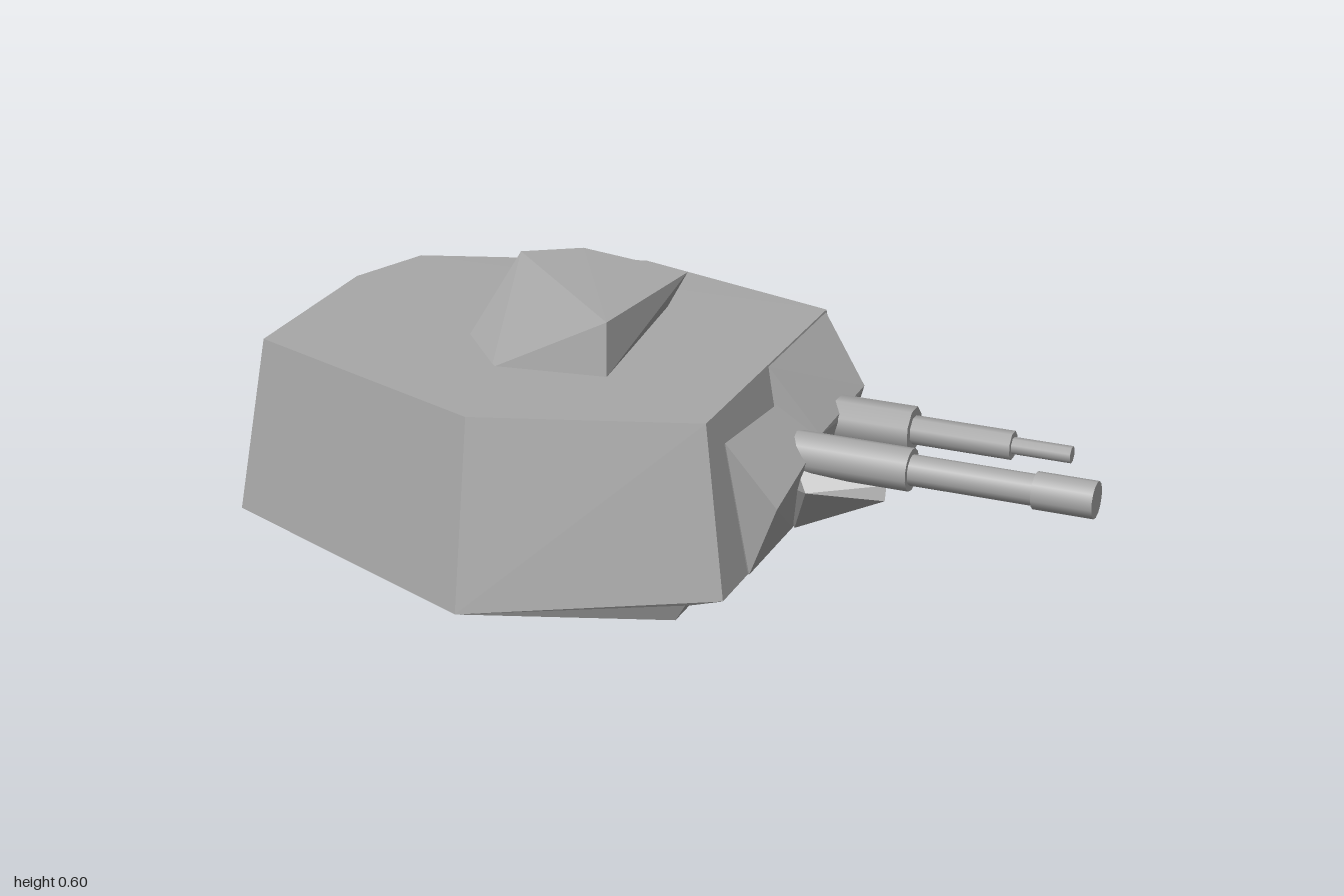
import * as THREE from 'three';
import { ConvexGeometry } from 'three/addons/geometries/ConvexGeometry.js';

export function createModel() {
  const group = new THREE.Group();
  const armour = new THREE.MeshStandardMaterial({ color: 0xa8a8a8 });
  armour.name = 'armourGrey';

  function add(name, geometry, parent = group) {
    const mesh = new THREE.Mesh(geometry, armour);
    mesh.name = name;
    parent.add(mesh);
    return mesh;
  }

  // A faceted solid through its corner points
  const solid = (name, corners) =>
    add(name, new ConvexGeometry(corners.map(c => new THREE.Vector3(...c))));

  // Six-sided sloping turret body
  solid('turretBody', [
    [-1, 0.045, -0.37], [-0.3, 0.02, -0.63], [0.26, 0.063, -0.42],
    [0.26, 0.063, 0.42], [-0.3, 0.02, 0.63], [-1, 0.045, 0.36],
    [0.19, 0.049, -0.44], [0.19, 0.049, 0.44],
    [-0.95, 0.463, -0.16], [-0.87, 0.465, -0.35], [-0.34, 0.46, -0.545],
    [0.2, 0.464, -0.385], [0.2, 0.464, 0.375], [-0.3, 0.467, 0.55],
    [-0.95, 0.463, 0.3],
  ]);

  // Floor plate, stepped back under the front edge
  solid('floorPlate', [
    [-1, 0.045, -0.37], [-0.3, 0.02, -0.63], [0.15, 0, -0.45],
    [0.15, 0, 0.43], [-0.3, 0.02, 0.63], [-1, 0.045, 0.36],
    [0.18, 0.05, -0.42], [0.18, 0.05, 0.44],
  ]);

  // Low angular hatch, overhanging at the rear corners
  solid('roofHatch', [
    [-0.49, 0.598, -0.14], [-0.36, 0.6, -0.215], [-0.075, 0.59, -0.18],
    [-0.115, 0.592, 0.2], [-0.38, 0.462, 0.255], [-0.515, 0.462, 0.1],
    [-0.11, 0.464, 0.215], [-0.16, 0.462, -0.255],
  ]);

  // Gun shield in two halves with a jutting brace
  solid('gunShieldRight', [
    [0.2, 0.46, -0.38], [0.33, 0.32, -0.3], [0.265, 0.065, -0.28],
    [0.33, 0.29, -0.2], [0.33, 0.31, 0], [0.265, 0.065, 0],
    [0.2, 0.46, 0], [0.1, 0.2, -0.2],
  ]);
  solid('gunShieldLeft', [
    [0.215, 0.39, 0.3], [0.34, 0.25, 0.3], [0.265, 0.065, 0.275],
    [0.33, 0.3, 0], [0.265, 0.065, 0], [0.24, 0.39, 0.05], [0.1, 0.2, 0.15],
  ]);
  solid('barrelBrace', [
    [0.51, 0.2, 0.06], [0.51, 0.235, 0.05], [0.34, 0.215, 0.12],
    [0.34, 0.28, 0], [0.27, 0.065, 0], [0.25, 0.35, 0.05], [0.26, 0.2, 0.06],
  ]);

  // Stepped barrels: each section is [start x, end x, radius]
  function barrel(name, z, sides, sections) {
    const gun = new THREE.Group();
    gun.name = name;
    gun.position.set(0, 0.285, z);
    sections.forEach(([x0, x1, r], i) => {
      const geo = new THREE.CylinderGeometry(r, r, x1 - x0, sides);
      geo.rotateY(Math.PI / sides).rotateZ(-Math.PI / 2);
      geo.translate((x0 + x1) / 2, 0, 0);
      add(['sleeve', 'tube', 'muzzle'][i], geo, gun);
    });
    group.add(gun);
  }
  barrel('mainBarrel', 0.052, 14, [[0.27, 0.57, 0.05], [0.57, 0.86, 0.036], [0.86, 1, 0.043]]);
  barrel('secondBarrel', -0.17, 8, [[0.27, 0.5, 0.055], [0.5, 0.74, 0.034], [0.74, 0.88, 0.02]]);

  return group;
}
